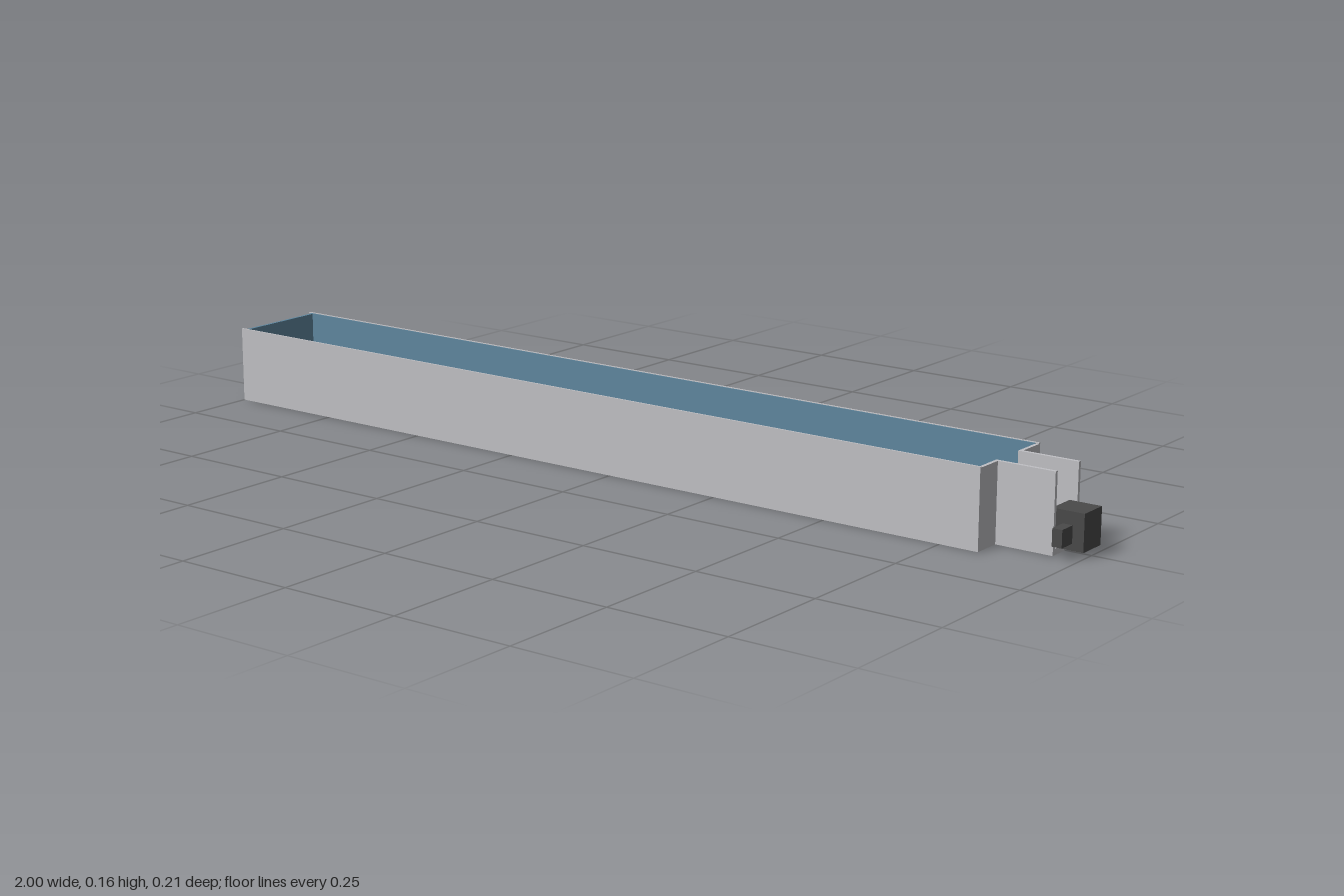
import * as THREE from 'three';

export function createModel() {
  const model = new THREE.Group();
  model.name = 'trough';

  const mat = (name, color) => {
    const m = new THREE.MeshStandardMaterial({ color });
    m.name = name;
    return m;
  };
  const grey = mat('light grey', 0xc0c0c4);
  const blue = mat('blue lining', 0x5f879f);
  const dark = mat('dark grey', 0x4a4a4a);

  // Box given by its lower and upper limits on each axis
  const block = (name, material, [x0, x1], [y0, y1], [z0, z1]) => {
    const mesh = new THREE.Mesh(new THREE.BoxGeometry(x1 - x0, y1 - y0, z1 - z0), material);
    mesh.position.set((x0 + x1) / 2, (y0 + y1) / 2, (z0 + z1) / 2);
    mesh.name = name;
    model.add(mesh);
  };

  // Long channel and narrow outlet floors
  block('channelFloor', grey, [-1, 0.83], [0, 0.012], [-0.104, 0.104]);
  block('outletFloor', grey, [0.83, 0.947], [0, 0.012], [-0.045, 0.045]);

  // Mirrored walls
  for (const s of [1, -1]) {
    const side = s > 0 ? 'left' : 'right';
    const span = (a, b) => (s > 0 ? [a, b] : [-b, -a]);
    block(side + 'ChannelWall', grey, [-1, 0.83], [0, 0.157], span(0.101, 0.105));
    block(side + 'WallLining', blue, [-0.994, 0.823], [0.012, 0.156], span(0.099, 0.101));
    block(side + 'Shoulder', grey, [0.823, 0.83], [0.012, 0.155], span(0.038, 0.101));
    block(side + 'OutletWall', grey, [0.83, 0.947], [0.012, 0.155], span(0.038, 0.045));
  }

  // Closed end, slightly recessed
  block('endPanel', blue, [-0.994, -0.988], [0.012, 0.155], [-0.101, 0.101]);

  // Drive unit in the outlet with its side connector
  block('driveUnit', dark, [0.935, 1], [0.012, 0.084], [-0.031, 0.031]);
  block('sideConnector', dark, [0.957, 0.977], [0.025, 0.059], [0.031, 0.068]);

  return model;
}
